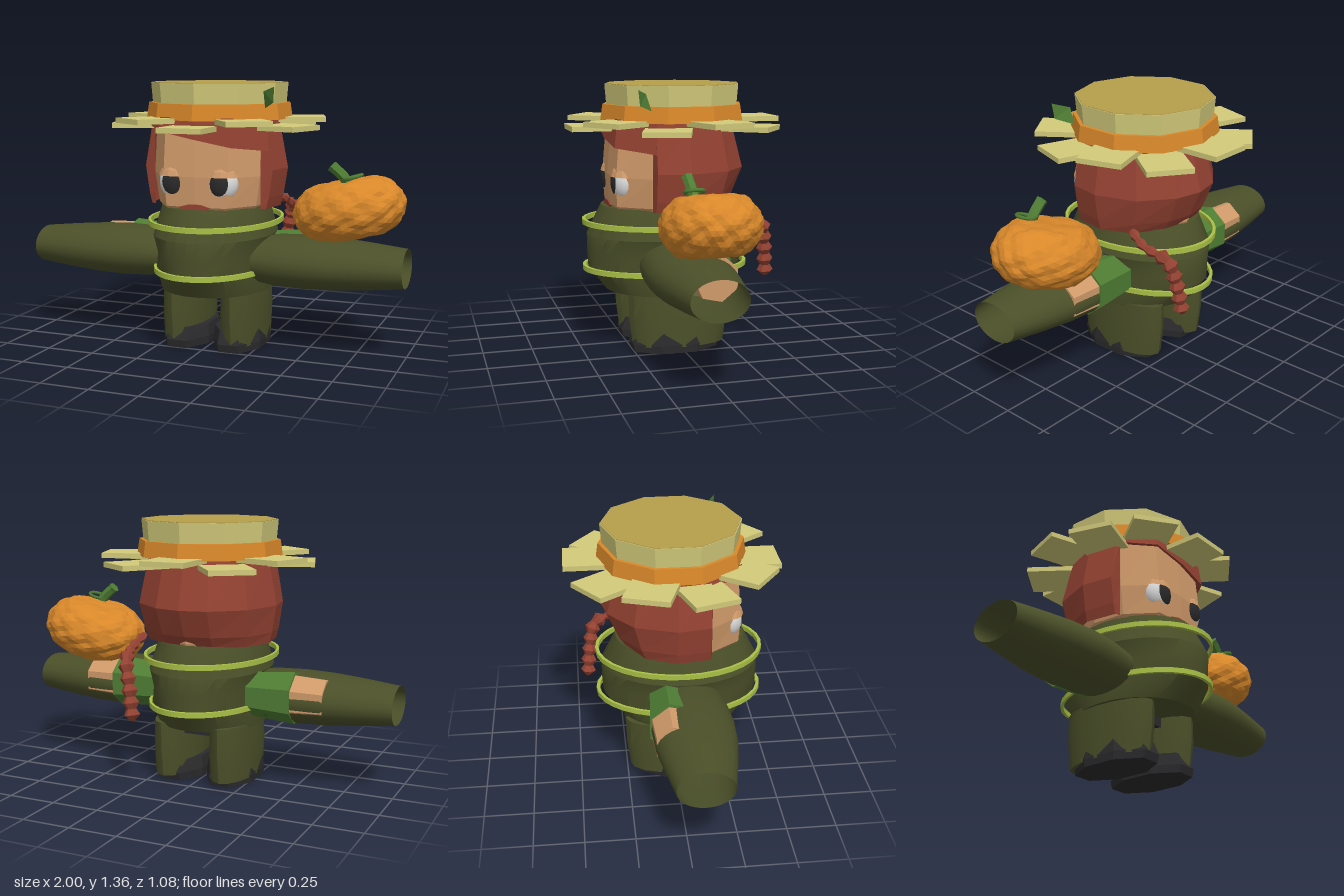
import * as THREE from 'three';
import { toCreasedNormals } from 'three/addons/utils/BufferGeometryUtils.js';

const mat = (name, color, side = THREE.DoubleSide) => {
  const m = new THREE.MeshStandardMaterial({ color, side });
  m.name = name;
  return m;
};

// Flat-shaded copy of a geometry
function faceted(g) {
  const f = g.index ? g.toNonIndexed() : g;
  f.computeVertexNormals();
  return f;
}

// Elliptical ring of points in a horizontal plane, counterclockwise from +z to +x
function ring(y, rx, rz, n, cx = 0, cz = 0, turn = 0) {
  return Array.from({ length: n }, (_, i) => {
    const a = ((i + turn) / n) * Math.PI * 2;
    return [cx + Math.sin(a) * rx, y, cz + Math.cos(a) * rz];
  });
}

// Skin a list of rings, bottom to top; optionally closed around and capped
function loft(rings, { closed = true, caps = true, crease = 0 } = {}) {
  const pos = [], n = rings[0].length;
  const tri = (a, b, c) => pos.push(...a, ...b, ...c);
  for (let i = 0; i < rings.length - 1; i++) {
    for (let j = 0; j < (closed ? n : n - 1); j++) {
      const k = (j + 1) % n, a = rings[i], b = rings[i + 1];
      tri(a[j], a[k], b[k]);
      tri(a[j], b[k], b[j]);
    }
  }
  if (caps) {
    const bot = rings[0], top = rings[rings.length - 1];
    for (let j = 1; j < n - 1; j++) {
      tri(bot[0], bot[j + 1], bot[j]);
      tri(top[0], top[j], top[j + 1]);
    }
  }
  const g = new THREE.BufferGeometry();
  g.setAttribute('position', new THREE.Float32BufferAttribute(pos, 3));
  g.computeVertexNormals();
  return crease ? toCreasedNormals(g, crease) : g;
}

// Mirror a half outline (x >= 0, front to back) into a full ring
const mirrored = (half, y, sx, sz) => {
  const right = half.map(([x, z]) => [x * sx, y, z * sz]);
  const left = right.slice(1, -1).reverse().map(([x, yy, z]) => [-x, yy, z]);
  return [...right, ...left];
};

export function createModel() {
  const root = new THREE.Group();
  root.name = 'scarecrowFigure';
  const skin = mat('skin', 0xd09a6a), red = mat('auburn', 0x944232), olive = mat('olive', 0x4b5029);
  const lime = mat('lime', 0xa9c046), orange = mat('orange', 0xd9882a), cream = mat('cream', 0xd2ca7a);
  const straw = mat('straw', 0xb69e4a), green = mat('leafGreen', 0x4f7d34);
  const black = mat('black', 0x2b2b2d), white = mat('eyeWhite', 0xdedede);

  const add = (name, geo, material, x = 0, y = 0, z = 0, parent = root) => {
    const m = new THREE.Mesh(geo, material);
    m.name = name;
    m.position.set(x, y, z);
    parent.add(m);
    return m;
  };

  // Torso: y, half width, half depth
  const torso = [[0.3, 0.28, 0.315], [0.42, 0.29, 0.405], [0.5, 0.28, 0.41], [0.59, 0.31, 0.41], [0.74, 0.27, 0.335]];
  add('torso', loft(torso.map(([y, rx, rz]) => ring(y, rx, rz, 32, 0, 0.042)), { crease: 0.5 }), olive);

  // Loose hoops round the torso
  for (const [y, rx] of [[0.655, 0.338], [0.415, 0.303]]) {
    const rings = [[-0.013, 1], [0.013, 1], [0.013, 0.96], [-0.013, 0.96], [-0.013, 1]]
      .map(([dy, s]) => ring(y + dy, rx * s, 0.437 * s, 32, 0, 0.038));
    add('hoop', loft(rings, { caps: false, crease: 0.5 }), lime);
  }
  add('hips', new THREE.BoxGeometry(0.16, 0.06, 0.3), black, 0, 0.28, 0);

  for (const s of [1, -1]) {
    // Legs and shoes
    const leg = [[0.03, 0.11, 0.243], [0.18, 0.113, 0.262], [0.32, 0.105, 0.264]];
    add('leg', loft(leg.map(([y, rx, rz]) => ring(y, rx, rz, 16, s * 0.158, 0.01)), { crease: 0.6 }), olive);
    const shoe = [[0, 0.135, 0.235], [0.04, 0.138, 0.245], [0.105, 0.13, 0.215]];
    add('shoe', faceted(loft(shoe.map(([y, rx, rz]) => ring(y, rx, rz, 8, s * 0.14, 0.03, 0.5)))), black);

    // Wide open sleeves
    const sleeve = [[0.2, 0.11, 0.17], [0.35, 0.13, 0.195], [0.5, 0.135, 0.207], [0.65, 0.13, 0.2], [0.82, 0.116, 0.172], [1, 0.097, 0.138]];
    const sg = loft(sleeve.map(([y, rx, rz]) => ring(y, rx, rz, 28)), { caps: false, crease: 0.6 });
    add('sleeve', sg.rotateZ(-s * Math.PI / 2), olive, 0, 0.462, 0.058);

    // Arms showing behind the sleeves
    const tube = (r0, r1, len) => faceted(new THREE.CylinderGeometry(r1, r0, len, 7)).rotateZ(-s * Math.PI / 2);
    add('cuff', tube(0.118, 0.138, 0.24), green, s * 0.38, 0.475, -0.03);
    add('hand', tube(0.122, 0.112, 0.18), skin, s * 0.575, 0.475, -0.035);
  }

  // Head
  const headHalf = [[0, 0.345], [0.17, 0.335], [0.285, 0.18], [0.3, 0], [0.22, -0.2], [0, -0.29]];
  const headRings = [[0.68, 0.75, 0.85], [0.75, 0.92, 0.98], [0.9, 1, 1], [1.17, 0.97, 0.93]];
  add('head', loft(headRings.map(([y, sx, sz]) => mirrored(headHalf, y, sx, sz))), skin);

  // Hair shell round the back and sides
  const hairHalf = [[0.285, 0.175], [0.345, 0.165], [0.372, 0], [0.3, -0.21], [0.14, -0.335], [0, -0.365]];
  const hairRings = [[0.735, 0.9, 0.72], [0.79, 0.94, 0.83], [0.93, 1, 1], [1.18, 0.87, 0.82]];
  const hair = hairRings.map(([y, sx, sz]) => {
    const half = hairHalf.map(([x, z], i) => [i ? x * sx : x, y, z > 0 ? z : z * sz]);
    return [...half, ...half.slice(0, -1).reverse().map(([x, yy, z]) => [-x, yy, z])];
  });
  add('hair', loft(hair, { closed: false, caps: false }), red);

  // Slanting fringe across the forehead
  const fringe = [[-0.325, 0.165], [-0.19, 0.345], [0, 0.36], [0.19, 0.345], [0.325, 0.165]];
  const fringeRings = [
    fringe.map(([x, z]) => [x * 0.9, 1.09 - 0.19 * x, z * 0.95]),
    fringe.map(([x, z]) => [x, 1.085 - 0.19 * x, z]),
    fringe.map(([x, z]) => [x * 0.95, 1.19, z * 0.95]),
  ];
  add('fringe', loft(fringeRings, { closed: false, caps: false }), red);

  // Heavy-lidded eyes
  for (const s of [1, -1]) {
    const eye = new THREE.Group();
    eye.name = 'eye';
    eye.position.set(s * 0.13, 0.872, 0.288);
    eye.rotation.y = s * 0.12;
    root.add(eye);
    const shell = (k) => [0.078 * k, 0.093 * k, 0.062 * k];
    add('eyeball', new THREE.SphereGeometry(1, 16, 12), white, 0, 0, 0, eye).scale.set(...shell(1));
    const pupil = new THREE.SphereGeometry(1, 16, 4, 0, Math.PI * 2, 0, 0.7).rotateX(Math.PI / 2).rotateY(-s * 0.2);
    add('pupil', pupil, black, 0, 0, 0, eye).scale.set(...shell(1.03));
    const lid = faceted(new THREE.SphereGeometry(1, 12, 4, 0, Math.PI * 2, 0, 1.28));
    add('eyelid', lid, skin, 0, 0, 0, eye).scale.set(...shell(1.08));
  }

  // Mouth
  const lips = new THREE.Shape([[-0.085, 0.01], [-0.03, 0.025], [0.03, 0.025], [0.085, 0.01], [0, -0.04]].map((p) => new THREE.Vector2(...p)));
  add('mouth', new THREE.ExtrudeGeometry(lips, { depth: 0.009, bevelEnabled: false }), red, 0, 0.74, 0.34);

  // Beaded braid hanging at the back
  const braid = new THREE.CatmullRomCurve3([
    [0.29, 0.76, -0.17], [0.31, 0.71, -0.27], [0.28, 0.66, -0.39], [0.25, 0.55, -0.42], [0.22, 0.37, -0.44],
  ].map((p) => new THREE.Vector3(...p)));
  const steps = 18, frames = braid.computeFrenetFrames(steps);
  const braidRings = [];
  for (let i = 0; i <= steps; i++) {
    const t = i / steps, p = braid.getPointAt(t);
    const r = i === steps ? 0.01 : (i % 2 ? 0.042 : 0.025) * (t < 0.35 ? 0.65 : 1);
    braidRings.push(ring(0, r, r, 6).map(([a, , b]) => p.clone()
      .addScaledVector(frames.normals[i], b).addScaledVector(frames.binormals[i], a).toArray()));
  }
  add('braid', loft(braidRings), red);

  // Hat: band, crown, top and ten brim slats at two heights
  add('hatBand', loft([ring(1.175, 0.377, 0.377, 10), ring(1.255, 0.365, 0.365, 10)]), orange);
  add('hatCrown', loft([ring(1.25, 0.345, 0.345, 10), ring(1.355, 0.354, 0.354, 10)]), cream);
  add('hatTop', loft([ring(1.35, 0.35, 0.35, 10), ring(1.358, 0.35, 0.35, 10)]), straw);
  for (let i = 0; i < 10; i++) {
    const slat = new THREE.BoxGeometry(0.23, 0.026, 0.27).translate(0, 0, 0.407).rotateY(i * Math.PI / 5);
    add('brimSlat', slat, cream, 0, i % 2 ? 1.172 : 1.139, 0);
  }
  const leaf = [[[0.375, 1.265, 0.26], [0.31, 1.235, 0.187]], [[0.382, 1.342, 0.27], [0.31, 1.318, 0.215]]];
  add('hatLeaf', loft(leaf, { closed: false, caps: false }), green);

  // Knobbly pumpkin resting on the sleeve
  const pumpkin = new THREE.Group();
  pumpkin.name = 'pumpkin';
  pumpkin.position.set(0.695, 0.735, 0.01);
  pumpkin.rotation.z = 0.2;
  root.add(pumpkin);
  const knobs = Array.from({ length: 70 }, (_, i) => {
    const y = 1 - (2 * i + 1) / 70, a = i * 2.39996, r = Math.sqrt(1 - y * y);
    return new THREE.Vector3(r * Math.cos(a), y, r * Math.sin(a));
  });
  const body = new THREE.IcosahedronGeometry(1, 7);
  const p = body.attributes.position, v = new THREE.Vector3();
  for (let i = 0; i < p.count; i++) {
    v.fromBufferAttribute(p, i).normalize();
    const near = Math.min(...knobs.map((k) => k.distanceTo(v)));
    const dip = 1 - 0.2 * Math.max(0, Math.abs(v.y) - 0.75) / 0.25;
    v.multiplyScalar(1.02 - 0.9 * near * near);
    p.setXYZ(i, v.x * 0.285, v.y * 0.18 * dip, v.z * 0.237);
  }
  add('pumpkinBody', faceted(body), orange, 0, 0, 0, pumpkin);

  // Pumpkin stem, leaf and curled tendril
  const stem = new THREE.CatmullRomCurve3([[0.72, 0.85, 0.09], [0.69, 0.9, 0.095], [0.635, 0.95, 0.1]].map((q) => new THREE.Vector3(...q)));
  add('stem', faceted(new THREE.TubeGeometry(stem, 4, 0.027, 6)), green);
  add('stemTip', faceted(new THREE.CylinderGeometry(0.03, 0.026, 0.02, 6)), green, 0.634, 0.95, 0.1).rotation.z = 0.85;
  const stemLeaf = faceted(new THREE.ConeGeometry(0.075, 0.05, 5));
  add('stemLeaf', stemLeaf, green, 0.72, 0.865, 0.09).rotation.z = 0.15;
  const tendril = add('tendril', new THREE.TorusGeometry(0.045, 0.009, 5, 14), green, 0.735, 0.905, 0.1);
  tendril.rotation.set(Math.PI / 2, 0.3, 0);

  return root;
}
